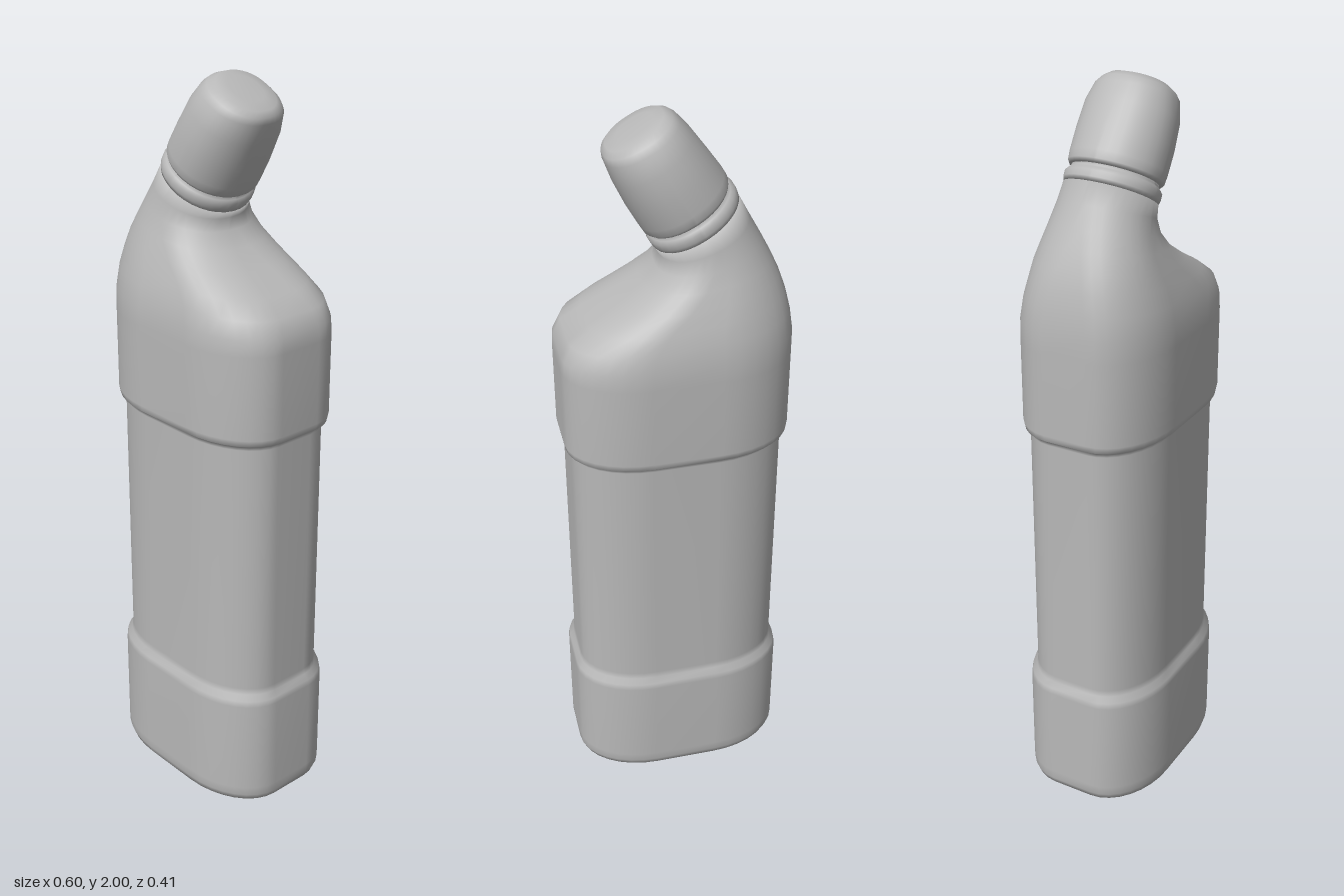
import * as THREE from 'three';

const CORNER = 8; // segments per rounded corner

// One rounded cross-section spanning left edge (lx, ly) to right edge (rx, ry),
// half depth hz, flat = share of each side that is straight.
function ring([lx, ly, rx, ry, hz, flat]) {
  const points = [];
  for (let q = 0; q < 4; q++) {
    const sx = q === 0 || q === 3 ? 1 : -1;
    const sz = q < 2 ? 1 : -1;
    for (let i = 0; i <= CORNER; i++) {
      const a = (q + i / CORNER) * Math.PI / 2;
      const u = flat * sx + (1 - flat) * Math.cos(a);
      const w = flat * sz + (1 - flat) * Math.sin(a);
      const t = (u + 1) / 2;
      points.push(lx + (rx - lx) * t, ly + (ry - ly) * t, hz * w);
    }
  }
  return points;
}

// Skin a closed surface over the sections, ordered from bottom to top.
function loft(name, sections, material) {
  const n = 4 * (CORNER + 1);
  const positions = sections.flatMap(ring);
  const index = [];
  for (let s = 0; s < sections.length - 1; s++) {
    for (let j = 0; j < n; j++) {
      const a = s * n + j, b = s * n + (j + 1) % n;
      index.push(a, a + n, b, b, a + n, b + n);
    }
  }
  // Close both ends with a fan
  const last = sections.length - 1;
  for (const [s, up] of [[0, false], [last, true]]) {
    const [lx, ly, rx, ry] = sections[s];
    const centre = positions.length / 3;
    positions.push((lx + rx) / 2, (ly + ry) / 2, 0);
    for (let j = 0; j < n; j++) {
      const a = s * n + j, b = s * n + (j + 1) % n;
      index.push(centre, up ? b : a, up ? a : b);
    }
  }
  const geometry = new THREE.BufferGeometry();
  geometry.setAttribute('position', new THREE.Float32BufferAttribute(positions, 3));
  geometry.setIndex(index);
  geometry.computeVertexNormals();
  const mesh = new THREE.Mesh(geometry, material);
  mesh.name = name;
  return mesh;
}

// Upright section centred on the axis
const level = (y, hx, hz) => [-hx, y, hx, y, hz, 0.3];

export function createModel() {
  const grey = new THREE.MeshStandardMaterial({ color: 0xb8b8b8 });
  grey.name = 'plain grey';

  // Foot, recessed grip, upper sleeve, and shoulder leaning into the neck
  const body = loft('bottleBody', [
    level(0.004, 0.25, 0.165),
    level(0, 0.275, 0.185),
    level(0.006, 0.292, 0.198),
    level(0.025, 0.3, 0.204),
    level(0.05, 0.3, 0.205),
    level(0.325, 0.3, 0.205),
    level(0.342, 0.297, 0.202),
    level(0.358, 0.286, 0.191),
    level(0.375, 0.283, 0.188),
    level(1.1, 0.283, 0.188),
    level(1.112, 0.288, 0.193),
    level(1.118, 0.297, 0.202),
    level(1.135, 0.3, 0.205),
    level(1.36, 0.3, 0.205),
    [-0.3, 1.42, 0.297, 1.4, 0.203, 0.3],
    [-0.292, 1.48, 0.277, 1.443, 0.194, 0.29],
    [-0.281, 1.53, 0.225, 1.48, 0.18, 0.26],
    [-0.266, 1.575, 0.145, 1.525, 0.166, 0.22],
    [-0.246, 1.62, 0.08, 1.568, 0.15, 0.16],
    [-0.222, 1.667, 0.043, 1.607, 0.136, 0.1],
    [-0.192, 1.722, 0.035, 1.637, 0.125, 0.05],
    [-0.164, 1.775, 0.045, 1.655, 0.12, 0.03],
  ], grey);

  // Collar ring at the mouth, with the narrow gap under the cap
  const collar = loft('neckCollar', [
    [-0.164, 1.775, 0.045, 1.655, 0.119, 0.03],
    [-0.161, 1.786, 0.053, 1.664, 0.123, 0.03],
    [-0.153, 1.8, 0.061, 1.678, 0.123, 0.03],
    [-0.142, 1.804, 0.058, 1.688, 0.117, 0.03],
    [-0.133, 1.806, 0.055, 1.697, 0.111, 0.03],
    [-0.128, 1.815, 0.06, 1.706, 0.111, 0.03],
  ], grey);

  // Rounded cap with a softly flattened tip
  const cap = loft('cap', [
    [-0.136, 1.813, 0.064, 1.697, 0.117, 0.03],
    [-0.136, 1.824, 0.073, 1.702, 0.123, 0.03],
    [-0.125, 1.843, 0.084, 1.72, 0.125, 0.03],
    [-0.09, 1.892, 0.113, 1.772, 0.125, 0.05],
    [-0.047, 1.95, 0.145, 1.84, 0.12, 0.08],
    [-0.016, 1.984, 0.164, 1.892, 0.105, 0.1],
    [0, 1.995, 0.165, 1.908, 0.092, 0.1],
    [0.02, 2, 0.157, 1.924, 0.074, 0.1],
    [0.045, 1.991, 0.13, 1.943, 0.045, 0.1],
  ], grey);

  const model = new THREE.Group();
  model.name = 'bentNeckBottle';
  model.add(body, collar, cap);
  return model;
}
